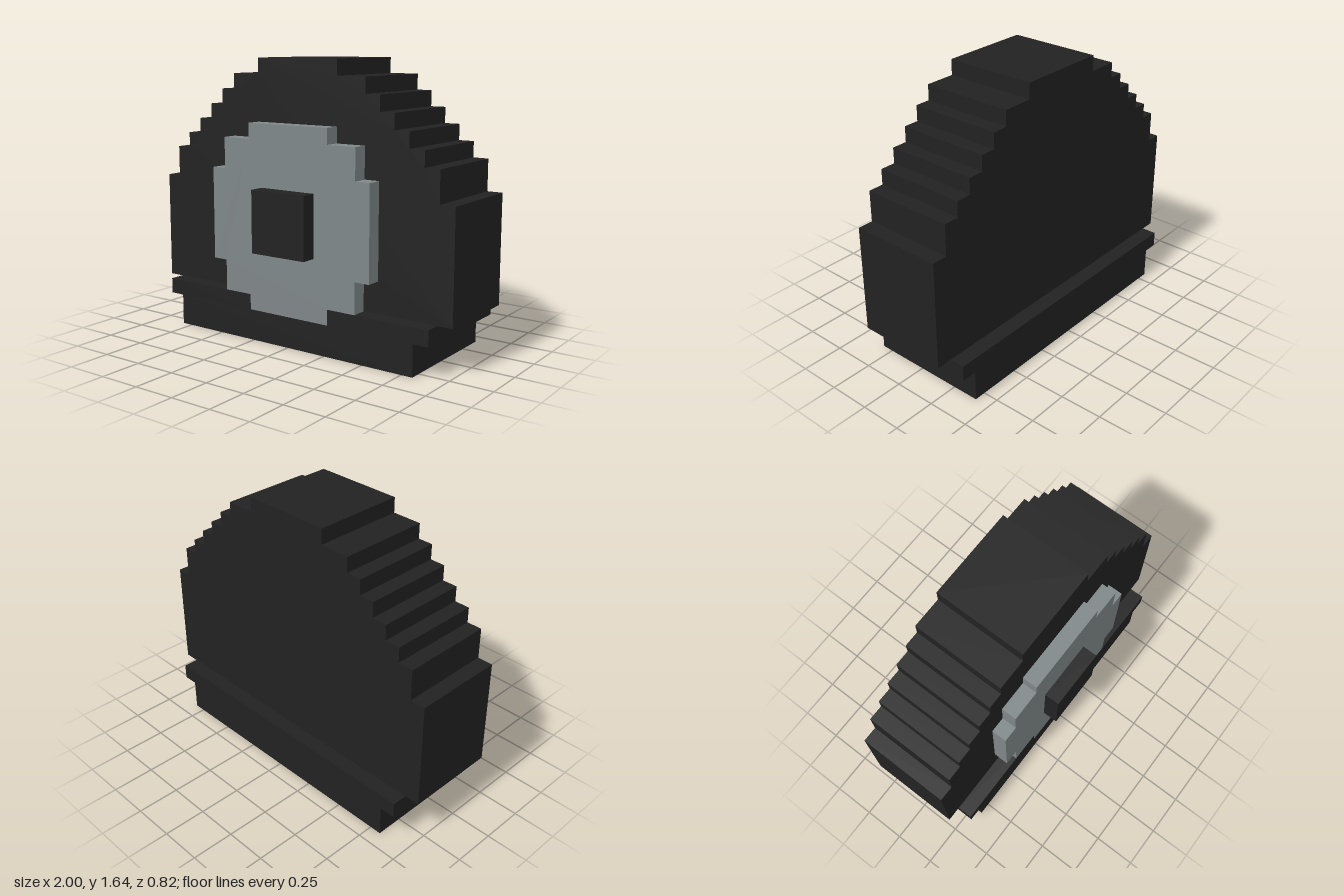
import * as THREE from 'three';

const U = 1 / 11; // one block

// Mirrored stepped outline from rows [halfWidth, bottom, top], listed upwards
function steppedPoints(rows) {
  const right = rows.flatMap(([w, y0, y1]) => [[w, y0], [w, y1]]);
  const left = right.map(([x, y]) => [-x, y]).reverse();
  return [...right, ...left];
}

// Slab with the given outline (in blocks) from z0 to z1
function slab(name, points, z0, z1, material) {
  const shape = new THREE.Shape(points.map(([x, y]) => new THREE.Vector2(x * U, y * U)));
  const geometry = new THREE.ExtrudeGeometry(shape, { depth: (z1 - z0) * U, bevelEnabled: false });
  geometry.translate(0, 0, z0 * U);
  const mesh = new THREE.Mesh(geometry, material);
  mesh.name = name;
  return mesh;
}

export function createModel() {
  const black = new THREE.MeshStandardMaterial({ color: 0x222222 });
  black.name = 'black';
  const grey = new THREE.MeshStandardMaterial({ color: 0x7f8789 });
  grey.name = 'grey';

  const model = new THREE.Group();
  model.name = 'steppedBlock';

  // Wide body narrowing in steps to the top
  const body = steppedPoints([
    [11, 3, 10], [10, 10, 12], [9, 12, 13], [8, 13, 14],
    [7, 14, 15], [6, 15, 16], [5, 16, 17], [3, 17, 18],
  ]);
  model.add(slab('body', body, -3.5, 2.5, black));

  // Deeper base, with a front lip notched to receive the disc
  const base = steppedPoints([[9, 0, 2], [10, 2, 3]]);
  model.add(slab('base', base, -4.5, 2.5, black));
  const lip = [
    [9, 0], [9, 2], [10, 2], [10, 3], [3, 3], [3, 2],
    [-3, 2], [-3, 3], [-10, 3], [-10, 2], [-9, 2], [-9, 0],
  ];
  model.add(slab('baseFrontLip', lip, 2.5, 3.5, black));

  // Blocky round disc and its square centre
  const disc = steppedPoints([[3, 2, 3], [5, 3, 5], [6, 5, 11], [5, 11, 13], [3, 13, 14]]);
  model.add(slab('disc', disc, 2.5, 3.5, grey));
  model.add(slab('centreKnob', steppedPoints([[2, 6, 10]]), 3.5, 4.5, black));

  return model;
}
